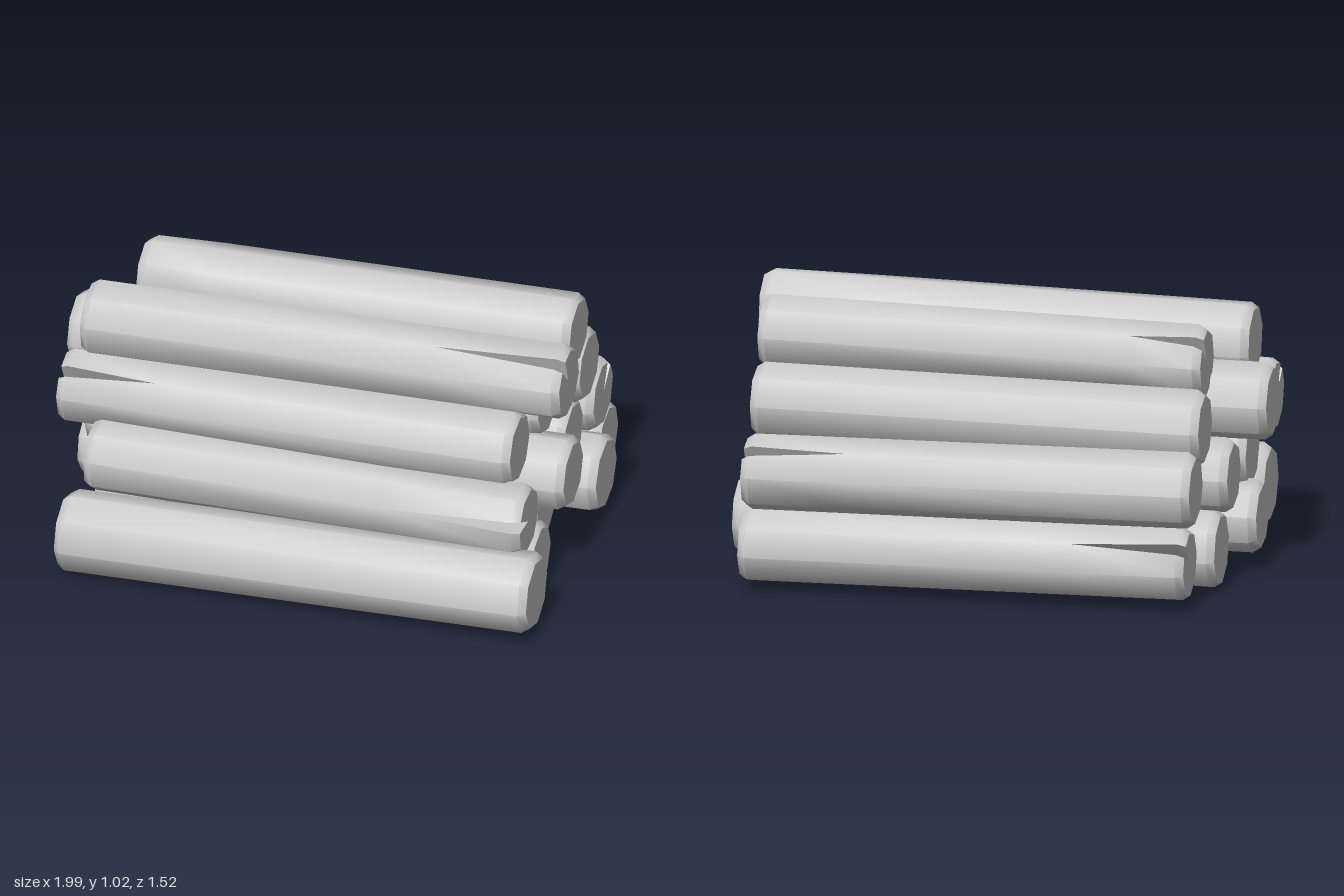
import * as THREE from 'three';
import { toCreasedNormals } from 'three/addons/utils/BufferGeometryUtils.js';

const SIDES = 8, BEVEL = 0.03, INSET = 0.02, SPLIT_WIDTH = 0.025;
const lerp = THREE.MathUtils.lerp;

// Each log: [y, z] centre of both ends, x range, radius, angle of one corner
// (degrees, seen from +x) and an optional split [end, corner angle, length].
const LOGS = [
  // bottom row
  { x: [-0.86, 0.99], a: [0.165, 0.6], b: [0.195, 0.575], r: 0.157, rot: 96 },
  { x: [-0.8, 0.92], a: [0.19, 0.295], b: [0.17, 0.285], r: 0.144, rot: 87 },
  { x: [-0.95, 0.85], a: [0.21, 0.02], b: [0.21, -0.01], r: 0.14, rot: 12 },
  { x: [-0.86, 0.99], a: [0.165, -0.3], b: [0.2, -0.325], r: 0.155, rot: 84 },
  { x: [-0.8, 0.91], a: [0.185, -0.59], b: [0.17, -0.618], r: 0.144, rot: 85, split: [-1, 40, 0.44] },
  // second row
  { x: [-0.8, 0.91], a: [0.415, 0.435], b: [0.405, 0.41], r: 0.143, rot: 165, split: [1, 165, 0.55] },
  { x: [-0.89, 0.99], a: [0.43, 0.12], b: [0.447, 0.1], r: 0.146, rot: 92 },
  { x: [-0.88, 0.9], a: [0.42, -0.17], b: [0.43, -0.195], r: 0.144, rot: 95 },
  { x: [-0.8, 0.92], a: [0.445, -0.485], b: [0.425, -0.515], r: 0.147, rot: 50, split: [1, 50, 0.4] },
  // third row
  { x: [-0.95, 0.84], a: [0.61, 0.287], b: [0.648, 0.3], r: 0.147, rot: 85, split: [-1, 130, 0.38] },
  { x: [-1, 0.85], a: [0.675, -0.023], b: [0.667, -0.035], r: 0.15, rot: 94 },
  { x: [-0.8, 0.92], a: [0.64, -0.315], b: [0.655, -0.337], r: 0.148, rot: 95 },
  // top row
  { x: [-0.89, 0.99], a: [0.85, 0.175], b: [0.88, 0.155], r: 0.15, rot: 78, split: [1, 123, 0.5] },
  { x: [-0.78, 0.92], a: [0.86, -0.185], b: [0.885, -0.203], r: 0.145, rot: 95, split: [-1, 50, 0.28] },
];

function logGeometry({ x: [x0, x1], a, b, r, rot, split }) {
  const start = THREE.MathUtils.degToRad(split ? split[1] : rot);
  const stations = [x0, x0 + BEVEL, x1 - BEVEL, x1];
  if (split) stations.splice(2, 0, split[0] > 0 ? x1 - split[2] : x0 + split[2]);

  const centre = (x) => {
    const t = (x - x0) / (x1 - x0);
    return new THREE.Vector3(x, lerp(a[0], b[0], t), lerp(a[1], b[1], t));
  };

  // Octagonal ring; a split opens its first corner into a V towards the core
  const ring = (x) => {
    const c = centre(x);
    const radius = x === x0 || x === x1 ? r - INSET : r;
    const at = (angle, rad) => c.clone().add(new THREE.Vector3(0, Math.sin(angle) * rad, -Math.cos(angle) * rad));
    const points = [];
    for (let i = 0; i < SIDES; i++) points.push(at(start + (i / SIDES) * Math.PI * 2, radius));
    if (split) {
      const open = Math.max(0, 1 - Math.abs((split[0] > 0 ? x1 : x0) - x) / split[2]);
      const corner = points.shift();
      const half = SPLIT_WIDTH * open;
      points.unshift(
        at(start, lerp(radius, 0.012, open)),
        corner.clone().lerp(points[0], half / corner.distanceTo(points[0])),
      );
      const last = points[points.length - 1];
      points.push(corner.clone().lerp(last, half / corner.distanceTo(last)));
    }
    return points;
  };

  const positions = [];
  const tri = (p, q, s) => {
    if (new THREE.Triangle(p, q, s).getArea() > 1e-8) for (const v of [p, q, s]) positions.push(v.x, v.y, v.z);
  };
  const rings = stations.map(ring);
  const n = rings[0].length;
  const first = rings[0], last = rings[rings.length - 1];
  for (let i = 0; i < n; i++) {
    const j = (i + 1) % n;
    for (let k = 0; k < rings.length - 1; k++) {
      tri(rings[k][i], rings[k][j], rings[k + 1][j]);
      tri(rings[k][i], rings[k + 1][j], rings[k + 1][i]);
    }
    tri(centre(x1), last[i], last[j]);
    tri(centre(x0), first[j], first[i]);
  }
  const geometry = new THREE.BufferGeometry();
  geometry.setAttribute('position', new THREE.Float32BufferAttribute(positions, 3));
  return toCreasedNormals(geometry, THREE.MathUtils.degToRad(50));
}

export function createModel() {
  const group = new THREE.Group();
  group.name = 'logPile';
  const wood = new THREE.MeshStandardMaterial({ color: 0xcccccc });
  LOGS.forEach((log, i) => {
    const mesh = new THREE.Mesh(logGeometry(log), wood);
    mesh.name = `${log.split ? 'splitLog' : 'log'}${i + 1}`;
    group.add(mesh);
  });
  return group;
}
